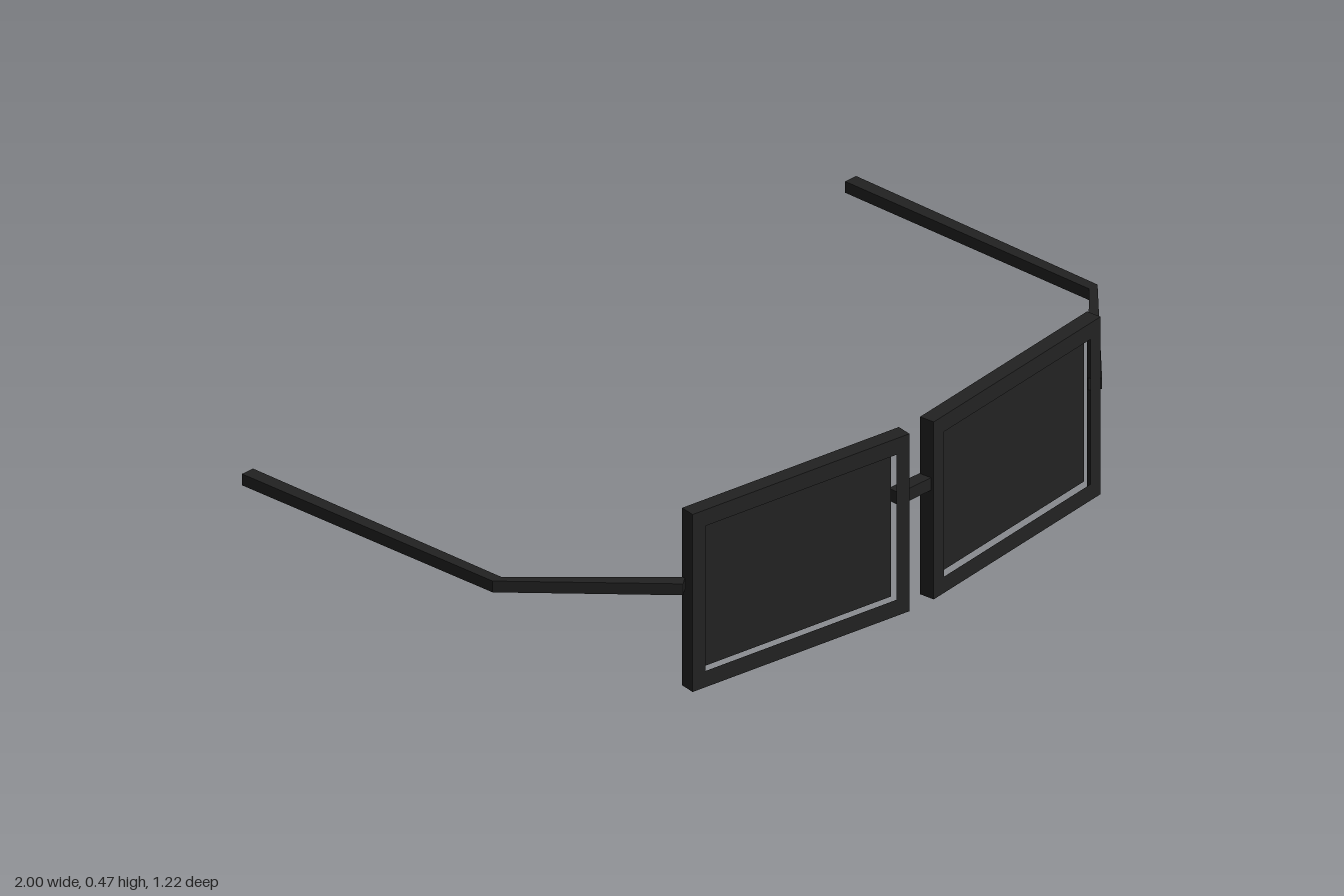
import * as THREE from 'three';

const material = new THREE.MeshStandardMaterial({ color: 0x222222, flatShading: true, side: THREE.DoubleSide });
const W = 0.63, H = 0.47, DEPTH = 0.04, RIM = 0.043;

function part(name, geometry) {
  const mesh = new THREE.Mesh(geometry, material);
  mesh.name = name;
  return mesh;
}

function rectangle(path, w, h) {
  path.moveTo(-w / 2, -h / 2);
  path.lineTo(w / 2, -h / 2);
  path.lineTo(w / 2, h / 2);
  path.lineTo(-w / 2, h / 2);
  path.closePath();
  return path;
}

// Shallow frame, open at the back, with a thin lens set behind the front rim
function createEyepiece() {
  const group = new THREE.Group();
  const holeW = W - 2 * RIM + 0.01, holeH = H - 2 * RIM;
  const rim = rectangle(new THREE.Shape(), W, H);
  rim.holes.push(rectangle(new THREE.Path(), holeW, holeH));
  group.add(part('frontRim', new THREE.ShapeGeometry(rim)));

  for (let i = 0; i < 4; i++) {
    const upright = i % 2 === 0;
    const wall = part('frameWall', new THREE.PlaneGeometry(DEPTH, upright ? H : W));
    wall.geometry.rotateY(Math.PI / 2).translate((upright ? W : H) / 2, 0, -DEPTH / 2);
    wall.rotation.z = i * Math.PI / 2;
    group.add(wall);
  }

  const lens = part('lens', new THREE.PlaneGeometry(holeW, holeH));
  lens.position.z = -DEPTH / 2;
  group.add(lens);
  return group;
}

// Square bar swept through sections: [outer x, inner x, z, bottom y, top y]
function createTemple(side) {
  const sections = [
    [0.682, 0.656, 0.517, 0.266, 0.296],
    [0.985, 0.957, 0.197, 0.266, 0.296],
    [1.0, 0.964, -0.61, 0.227, 0.257],
  ];
  const positions = [], index = [];
  const drop = side < 0 ? 0.008 : 0;
  sections.forEach(([xo, xi, z, y0, y1], s) => {
    // the front end is cut square to the hinge bar
    const zi = s === 0 ? z - 0.02 : z;
    const d = s === 2 ? 0 : drop;
    positions.push(side * xo, y0 - d, z, side * xo, y1 - d, z, side * xi, y1 - d, zi, side * xi, y0 - d, zi);
  });
  for (let s = 0; s < 2; s++) {
    for (let k = 0; k < 4; k++) {
      const a = s * 4 + k, b = s * 4 + (k + 1) % 4;
      index.push(a, b, b + 4, a, b + 4, a + 4);
    }
  }
  index.push(0, 2, 1, 0, 3, 2, 8, 9, 10, 8, 10, 11);
  if (side < 0) index.reverse();
  const geometry = new THREE.BufferGeometry();
  geometry.setAttribute('position', new THREE.Float32BufferAttribute(positions, 3));
  geometry.setIndex(index);
  const flat = geometry.toNonIndexed();
  flat.computeVertexNormals();
  return part(side > 0 ? 'leftTemple' : 'rightTemple', flat);
}

export function createModel() {
  const model = new THREE.Group();
  model.name = 'glasses';

  for (const side of [1, -1]) {
    const eyepiece = createEyepiece();
    eyepiece.name = side > 0 ? 'leftEyepiece' : 'rightEyepiece';
    eyepiece.position.set(side * 0.352, H / 2, 0.571);
    eyepiece.rotation.y = side * 0.13;
    model.add(eyepiece, createTemple(side));
  }

  // Bar joining the two frames
  const bridge = part('bridge', new THREE.BoxGeometry(0.13, 0.033, 0.034));
  bridge.position.set(0, 0.303, 0.587);
  model.add(bridge);

  return model;
}
